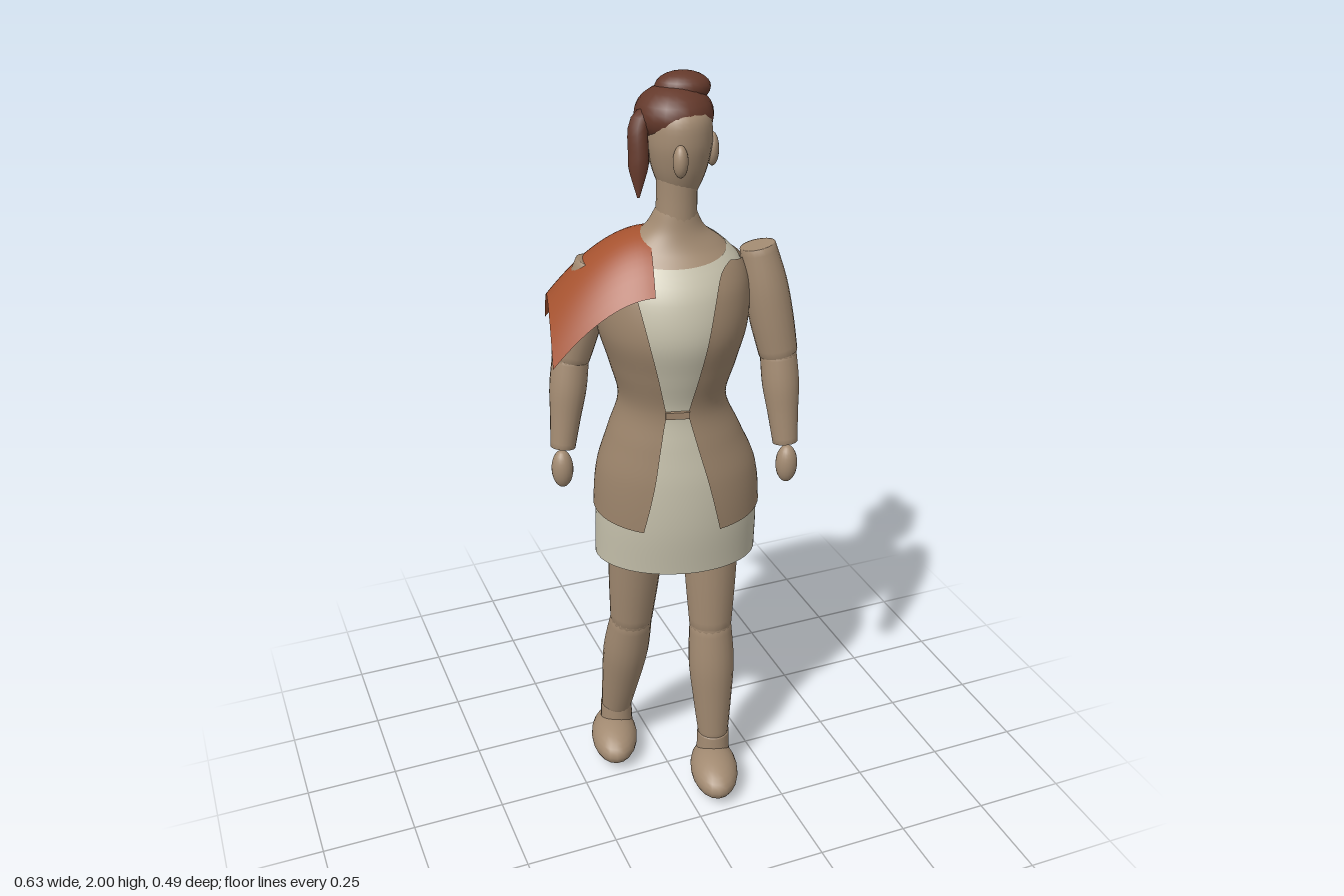
import * as THREE from 'three';

const mat = (name, color, side = THREE.FrontSide) => {
  const m = new THREE.MeshStandardMaterial({ color, side });
  m.name = name;
  return m;
};
const V = (a) => new THREE.Vector3(...a);
const TURN = -0.27; // the whole figure is turned a little to its right
const { sin, cos, PI } = Math;

// Body cross-sections: y, half width, half depth, centre x, centre z
const SECTIONS = [
  [0.735, 0.214, 0.150, 0.027, -0.018], [0.87, 0.212, 0.157, 0.027, -0.010],
  [1.00, 0.200, 0.154, 0.025, -0.007], [1.10, 0.165, 0.140, 0.018, -0.005],
  [1.20, 0.130, 0.128, 0.012, -0.003], [1.30, 0.153, 0.150, 0.012, 0.000],
  [1.40, 0.180, 0.170, 0.010, 0.002], [1.50, 0.185, 0.158, 0.010, -0.005],
  [1.56, 0.168, 0.125, 0.010, -0.008], [1.60, 0.130, 0.095, 0.012, -0.008],
  [1.64, 0.078, 0.068, 0.014, 0.004], [1.69, 0.050, 0.052, 0.015, 0.012],
];

// Smooth interpolation of the sections at height y
function section(y) {
  const last = SECTIONS.length - 1;
  let i = 0;
  while (i < last - 1 && SECTIONS[i + 1][0] < y) i++;
  const p = SECTIONS[Math.max(i - 1, 0)], a = SECTIONS[i];
  const b = SECTIONS[i + 1], q = SECTIONS[Math.min(i + 2, last)];
  const h = b[0] - a[0], t = THREE.MathUtils.clamp((y - a[0]) / h, 0, 1);
  return [1, 2, 3, 4].map((k) => {
    const ma = (b[k] - p[k]) / (b[0] - p[0]) * h, mb = (q[k] - a[k]) / (q[0] - a[0]) * h;
    const t2 = t * t, t3 = t2 * t;
    return (2 * t3 - 3 * t2 + 1) * a[k] + (t3 - 2 * t2 + t) * ma
      + (3 * t2 - 2 * t3) * b[k] + (t3 - t2) * mb;
  });
}

// Grid of points f(u, v), facing along u x v
function surface(nu, nv, f) {
  const pos = [], index = [];
  for (let j = 0; j <= nv; j++) for (let i = 0; i <= nu; i++) {
    pos.push(...f(i / nu, j / nv));
    if (i < nu && j < nv) {
      const a = j * (nu + 1) + i, c = a + nu + 1;
      index.push(a, a + 1, c, a + 1, c + 1, c);
    }
  }
  const g = new THREE.BufferGeometry();
  g.setAttribute('position', new THREE.Float32BufferAttribute(pos, 3));
  g.setIndex(index);
  g.computeVertexNormals();
  return g;
}

// Layer of clothing over the body; gap(y) is the half width of a front opening
function layer(low, high, grow, gap) {
  return surface(56, 44, (u, v) => {
    let phi = -PI + u * 2 * PI;
    if (gap) {
      const yMid = low(0) + (high(0) - low(0)) * v;
      const open = Math.asin(Math.min(0.9, gap(yMid) / section(yMid)[0]));
      phi = open + u * (2 * PI - 2 * open);
    }
    const y = low(phi) + (high(phi) - low(phi)) * v;
    const [rx, rz, cx, cz] = section(y);
    const x = (rx + grow) * sin(phi), z = (rz + grow) * cos(phi);
    return [cx + x * cos(TURN) + z * sin(TURN), y, cz - x * sin(TURN) + z * cos(TURN)];
  });
}

export function createModel() {
  const model = new THREE.Group();
  const skin = mat('tan skin', 0xa38b72);
  const jacketMat = mat('brown jacket', 0x9c846b, THREE.DoubleSide);
  const cream = mat('cream cloth', 0xc6c1ac, THREE.DoubleSide);
  const hair = mat('dark brown hair', 0x64392b);
  const capeMat = mat('rust cloth', 0xa5522f, THREE.DoubleSide);

  const add = (name, geometry, material, parent = model) => {
    const m = new THREE.Mesh(geometry, material);
    m.name = name;
    parent.add(m);
    return m;
  };
  const ball = (name, p, r, material, turn = TURN) => {
    const m = add(name, new THREE.SphereGeometry(1, 20, 14), material);
    m.position.set(...p);
    m.scale.set(...r);
    m.rotation.y = turn;
    return m;
  };
  // Limb segment from a to b with radii spread evenly along it and closed ends
  const limb = (name, a, b, radii) => {
    const from = V(a), to = V(b), len = from.distanceTo(to), n = radii.length - 1;
    const curve = new THREE.SplineCurve(radii.map((r, i) => new THREE.Vector2(r, len * i / n)));
    const pts = [new THREE.Vector2(0, 0), new THREE.Vector2(radii[0] - 0.004, 0),
      ...curve.getPoints(12), new THREE.Vector2(radii[n] - 0.004, len), new THREE.Vector2(0, len)];
    const m = add(name, new THREE.LatheGeometry(pts, 20), skin);
    m.position.copy(from);
    m.quaternion.setFromUnitVectors(new THREE.Vector3(0, 1, 0), to.sub(from).normalize());
  };
  // Tapering lock of hair
  const lock = (name, path, radii) => {
    const curve = new THREE.CatmullRomCurve3(path.map(V)), rows = 14, sides = 10;
    const g = new THREE.TubeGeometry(curve, rows, 1, sides);
    const pos = g.attributes.position, p = new THREE.Vector3();
    for (let i = 0; i < pos.count; i++) {
      const t = Math.floor(i / (sides + 1)) / rows, c = curve.getPointAt(t);
      const k = t * (radii.length - 1), j = Math.min(Math.floor(k), radii.length - 2);
      p.fromBufferAttribute(pos, i).sub(c);
      p.multiplyScalar(radii[j] + (radii[j + 1] - radii[j]) * (k - j)).add(c);
      pos.setXYZ(i, p.x, p.y, p.z);
    }
    add(name, g, hair);
  };

  // Body and clothing
  add('neckAndChest', layer(() => 1.48, () => 1.69, -0.003), skin);
  add('dress', layer(() => 0.735, (f) => 1.605 - 0.035 * cos(f), 0), cream);
  const gap = (y) => (y > 1.2 ? 0.025 + (y - 1.2) * 0.205 : 0.025 + (1.2 - y) * 0.21);
  add('jacket', layer((f) => 0.888 - 0.022 * cos(f), (f) => 1.56 + 0.04 * cos(f) ** 2, 0.007, gap), jacketMat);
  const tie = add('jacketTie', new THREE.BoxGeometry(0.06, 0.018, 0.009), jacketMat);
  tie.position.set(-0.024, 1.2, 0.128);
  tie.rotation.y = TURN;

  // Shoulder cape, draped from the neck over the right arm
  const back = [[0, -0.187], [-0.24, -0.25]], front = [[-0.083, 0.134], [-0.32, 0.07]];
  const mix = THREE.MathUtils.lerp;
  add('shoulderCape', surface(20, 20, (u, v) => {
    const at = (k) => mix(mix(back[0][k], back[1][k], u), mix(front[0][k], front[1][k], u), v);
    return [at(0), 1.638 - 0.17 * u ** 1.8 - 0.12 * Math.abs(2 * v - 1) ** 2, at(1)];
  }), capeMat);

  // Head
  const profile = [[0.001, 1.712], [0.035, 1.718], [0.056, 1.75], [0.074, 1.80], [0.083, 1.86], [0.07, 1.92], [0.001, 1.96]];
  const headCurve = new THREE.SplineCurve(profile.map((p) => new THREE.Vector2(...p)));
  const head = add('head', new THREE.LatheGeometry(headCurve.getPoints(28), 28), skin);
  head.position.set(0.026, 0, 0.007);
  head.scale.x = 0.94;
  head.rotation.y = TURN;
  limb('neck', [0.015, 1.62, 0.014], [0.018, 1.77, 0.014], [0.052, 0.05, 0.049, 0.05]);
  ball('nose', [-0.004, 1.822, 0.089], [0.018, 0.038, 0.021], skin);
  ball('leftEar', [0.102, 1.825, 0.024], [0.016, 0.04, 0.027], skin);
  ball('rightEar', [-0.052, 1.825, -0.016], [0.016, 0.04, 0.027], skin);

  // Hair
  ball('hairCap', [0.022, 1.905, -0.018], [0.094, 0.07, 0.097], hair);
  ball('hairBun', [0.046, 1.963, -0.024], [0.066, 0.037, 0.05], hair);
  lock('leftPigtail', [[0.06, 1.89, -0.10], [0.10, 1.905, -0.148], [0.138, 1.86, -0.153], [0.155, 1.78, -0.132]],
    [0.022, 0.027, 0.028, 0.003]);
  lock('rightPigtail', [[-0.03, 1.915, -0.02], [-0.07, 1.895, 0.0], [-0.079, 1.82, 0.016], [-0.08, 1.725, 0.016]],
    [0.022, 0.025, 0.025, 0.003]);

  // Arms and legs: joints from top to bottom, then the hand or foot
  const sides = [
    { name: 'left', arm: [[0.212, 1.585, 0.055], [0.265, 1.305, 0.083], [0.274, 1.07, 0.125]], hand: [0.277, 1.01, 0.132],
      leg: [[0.105, 0.88, 0.04], [0.103, 0.515, 0.058], [0.11, 0.14, 0.075]], foot: [0.09, 0.06, 0.132] },
    { name: 'right', arm: [[-0.168, 1.555, -0.06], [-0.228, 1.305, -0.082], [-0.264, 1.07, -0.058]], hand: [-0.269, 1.01, -0.053],
      leg: [[-0.085, 0.88, 0.005], [-0.09, 0.515, -0.045], [-0.103, 0.14, -0.15]], foot: [-0.123, 0.06, -0.114] },
  ];
  for (const { name, arm, hand, leg, foot } of sides) {
    limb(name + 'UpperArm', arm[0], arm[1], [0.044, 0.055, 0.055, 0.049]);
    ball(name + 'Elbow', arm[1], [0.047, 0.045, 0.047], skin);
    limb(name + 'Forearm', arm[1], arm[2], [0.046, 0.047, 0.039, 0.032]);
    ball(name + 'Hand', hand, [0.028, 0.052, 0.028], skin);
    limb(name + 'Thigh', leg[0], leg[1], [0.08, 0.074, 0.067, 0.058]);
    ball(name + 'Knee', leg[1], [0.058, 0.05, 0.058], skin);
    limb(name + 'Shin', leg[1], leg[2], [0.057, 0.063, 0.054, 0.042]);
    limb(name + 'Ankle', [leg[2][0], 0.15, leg[2][2]], [leg[2][0], 0.06, leg[2][2]], [0.045, 0.046, 0.048]);
    ball(name + 'Foot', foot, [0.066, 0.055, 0.117], skin);
  }
  return model;
}
